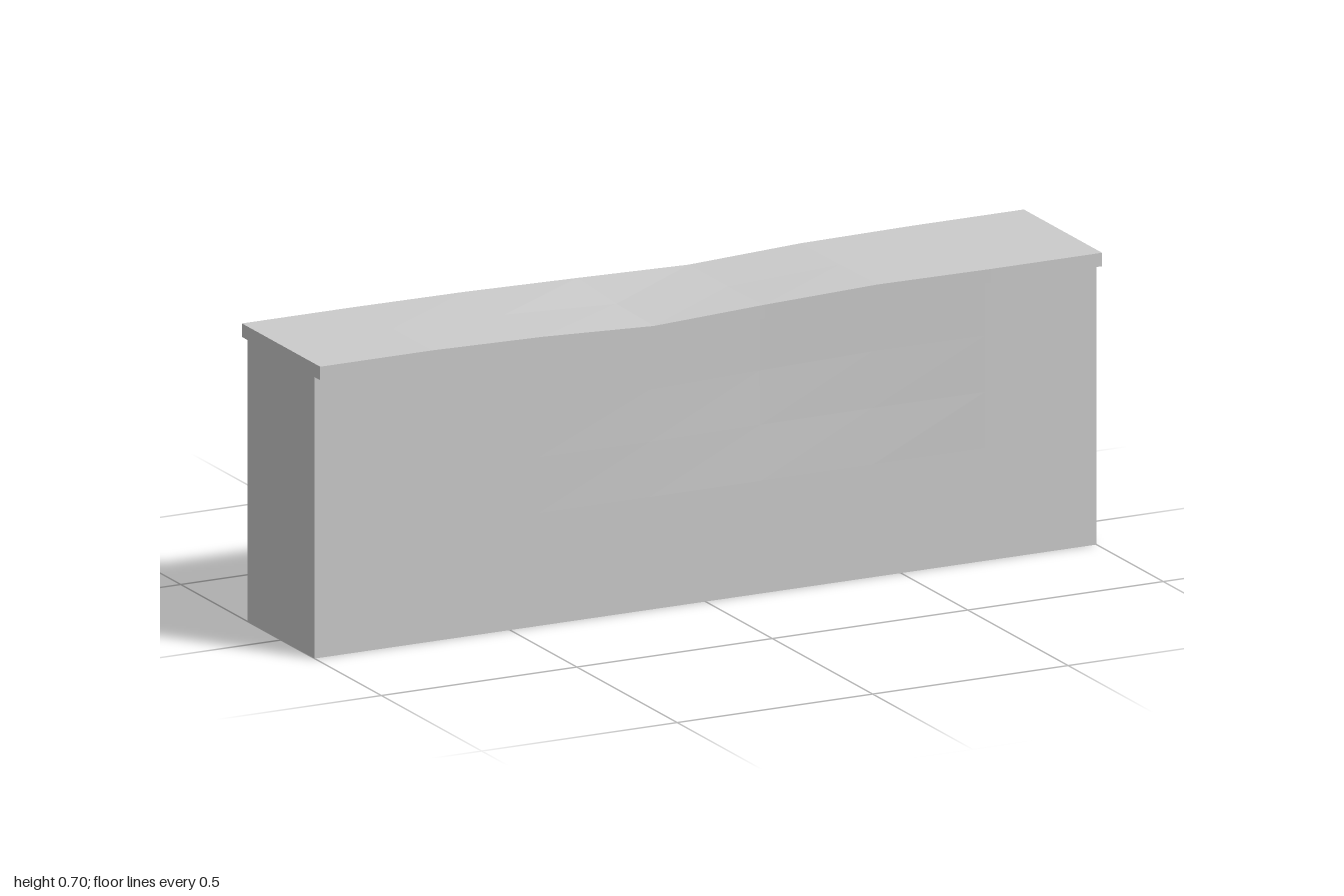
import * as THREE from 'three';

const SEG = 7; // columns along the wall
// settling of the coping per column, from x = -1 to x = 1
const SAG_FRONT = [0, 0, 0.006, 0.021, 0.011, 0, 0, 0];
const SAG_MIDDLE = [0, 0, 0.005, 0.018, 0.015, 0.002, 0, 0];
const SAG_BACK = [0, 0, 0.002, 0.008, 0.015, 0.003, 0, 0];
// how far the front is pressed in per column
const DENT = [0, 0, 0, 0.007, 0.013, 0.007, 0, 0];

function sagAt(column, z) {
  const t = Math.min(1, Math.abs(z) / 0.17);
  const edge = z > 0 ? SAG_FRONT : SAG_BACK;
  return THREE.MathUtils.lerp(SAG_MIDDLE[column], edge[column], t);
}

// Moves each vertex by the sag and dent of its column, weighted by height
function weather(geometry, sagWeight, dentWeight) {
  const p = geometry.attributes.position;
  for (let i = 0; i < p.count; i++) {
    const y = p.getY(i), z = p.getZ(i);
    const column = Math.round((p.getX(i) + 1) / 2 * SEG);
    p.setY(i, y - sagAt(column, z) * sagWeight(y));
    if (z > 0.1) p.setZ(i, z - DENT[column] * dentWeight(y));
  }
  geometry.computeVertexNormals();
  return geometry;
}

export function createModel() {
  const group = new THREE.Group();
  group.name = 'wall';
  const material = new THREE.MeshStandardMaterial({
    color: 0xcccccc, flatShading: true, side: THREE.DoubleSide,
  });

  // Wall body: four sides, open at the bottom and under the coping
  const body = new THREE.BoxGeometry(2, 0.668, 0.334, SEG, 5, 1);
  body.translate(0, 0.334, 0);
  const sides = body.groups.filter((g) => g.materialIndex !== 2 && g.materialIndex !== 3);
  const index = Array.from(body.index.array);
  body.setIndex(sides.flatMap((g) => index.slice(g.start, g.start + g.count)));
  body.clearGroups();
  weather(
    body,
    (y) => THREE.MathUtils.smoothstep(y, 0.3, 0.668),
    (y) => 0.7 * THREE.MathUtils.smoothstep(y, 0.2, 0.55),
  );
  const bodyMesh = new THREE.Mesh(body, material);
  bodyMesh.name = 'wallBody';

  // Coping slab overhanging front and back
  const slab = new THREE.BoxGeometry(2, 0.032, 0.39, SEG, 1, 2);
  slab.translate(0, 0.684, 0);
  weather(slab, () => 1, () => 1);
  const coping = new THREE.Mesh(slab, material);
  coping.name = 'coping';

  group.add(bodyMesh, coping);
  return group;
}
